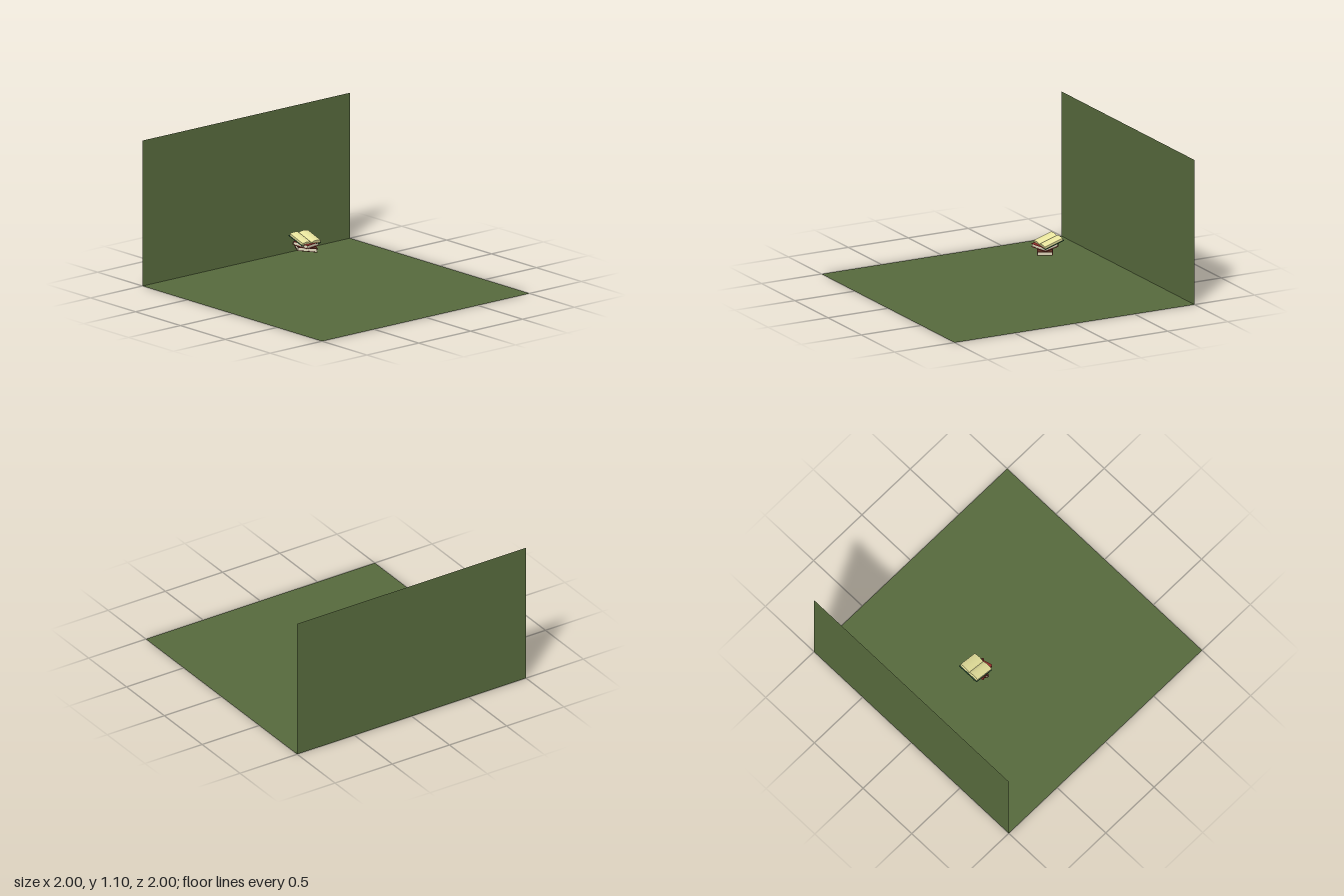
import * as THREE from 'three';

const mat = (color, side = THREE.FrontSide) => new THREE.MeshStandardMaterial({ color, side });

function add(parent, name, geometry, material, x = 0, y = 0, z = 0) {
  const mesh = new THREE.Mesh(geometry, material);
  mesh.name = name;
  mesh.position.set(x, y, z);
  parent.add(mesh);
  return mesh;
}

// Closed book: two boards, a rounded spine on -x, and an inset page block
function closedBook(name, w, t, d, coverColor) {
  const book = new THREE.Group();
  book.name = name;
  const cover = mat(coverColor);
  const board = 0.004;
  for (const s of [-1, 1]) {
    add(book, s < 0 ? 'bottomCover' : 'topCover',
      new THREE.BoxGeometry(w, board, d), cover, 0, s * (t - board) / 2, 0);
  }
  const spine = new THREE.CylinderGeometry(t / 2, t / 2, d, 12, 1, false, Math.PI, Math.PI);
  spine.rotateX(Math.PI / 2);
  spine.scale(0.4, 1, 1);
  add(book, 'spine', spine, cover, -w / 2, 0, 0);
  add(book, 'pages', new THREE.BoxGeometry(w - 0.004, t - 2 * board, d - 0.008),
    mat(0xe6dcc0), -0.001, 0, 0);
  return book;
}

// Open book: flat cover with two page stacks bulging beside the central gutter
function openBook() {
  const book = new THREE.Group();
  book.name = 'openBook';
  add(book, 'openCover', new THREE.BoxGeometry(0.163, 0.005, 0.18), mat(0x2f5a3c));

  const length = 0.152;
  const shape = new THREE.Shape();
  shape.moveTo(-0.085, 0);
  shape.lineTo(0.085, 0);
  shape.lineTo(0.087, 0.018);
  shape.bezierCurveTo(0.06, 0.028, 0.012, 0.03, 0, 0.01);
  shape.bezierCurveTo(-0.012, 0.03, -0.06, 0.028, -0.087, 0.018);
  shape.closePath();
  const pages = new THREE.ExtrudeGeometry(shape, { depth: length, bevelEnabled: false, curveSegments: 10 });
  pages.translate(0, 0, -length / 2);
  pages.rotateY(Math.PI / 2);
  add(book, 'openPages', pages, mat(0xe6e29c), 0.002, 0.0025, 0);
  return book;
}

export function createModel() {
  const model = new THREE.Group();
  model.name = 'booksInCorner';

  // Thin floor and side wall
  const green = mat(0x56693c, THREE.DoubleSide);
  add(model, 'floor', new THREE.PlaneGeometry(2, 2).rotateX(-Math.PI / 2), green);
  add(model, 'wall', new THREE.PlaneGeometry(2, 1.1).rotateY(Math.PI / 2), green, -1, 0.55, 0);

  // Floating stack; each book is turned first, then tilted
  const place = (book, x, y, z, rx, ry, rz) => {
    book.position.set(x, y, z);
    book.rotation.set(rx, ry, rz, 'XZY');
    model.add(book);
  };
  place(closedBook('bottomBook', 0.11, 0.028, 0.15, 0x5c2c20), -0.315, 0.253, 0.014, -0.12, -0.52, -0.07);
  place(closedBook('middleBook', 0.128, 0.027, 0.148, 0x96302a), -0.315, 0.287, 0.015, -0.06, 0.26, -0.08);
  place(openBook(), -0.343, 0.312, 0.005, -0.03, 0, -0.31);

  return model;
}
